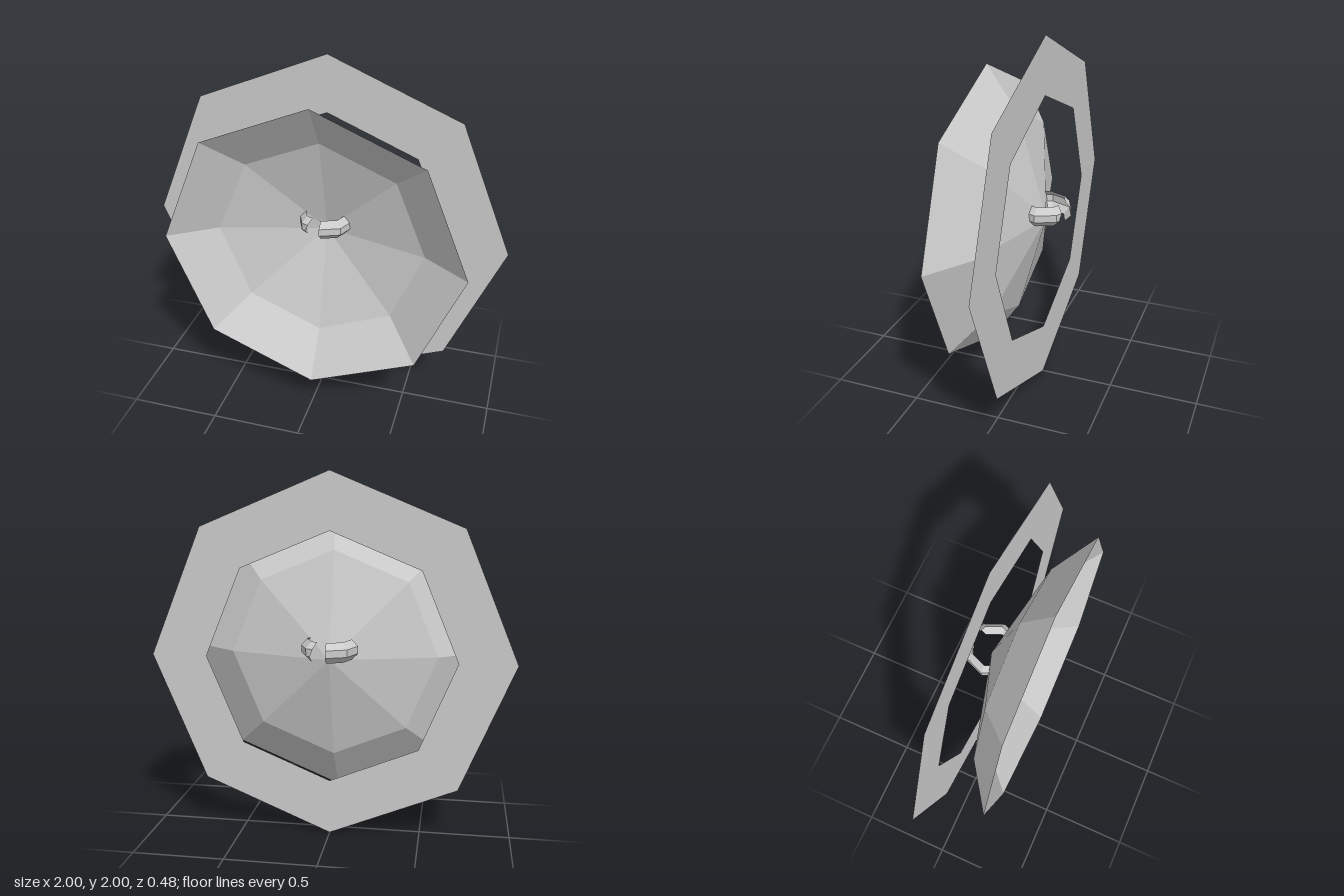
import * as THREE from 'three';

const grey = new THREE.MeshStandardMaterial({ color: 0xcccccc, flatShading: true, side: THREE.DoubleSide });
grey.name = 'pale grey';

function add(parent, name, geometry) {
  const mesh = new THREE.Mesh(geometry, grey);
  mesh.name = name;
  parent.add(mesh);
  return mesh;
}

// Half of an eight-sided hollow band; its far end is cut on a slant.
function bandGeometry() {
  const profile = [[0.12, -0.055], [0.155, -0.02], [0.155, 0.02], [0.12, 0.055]];
  const endCut = [0.03, 0.2, 0.35, 0.41];
  const at = (step, r, y) => new THREE.Vector3(r * Math.sin(step * Math.PI / 4), y, r * Math.cos(step * Math.PI / 4));
  const rows = profile.map(([r, y], i) => {
    const row = [0, 1, 2, 3].map((s) => at(s, r, y));
    row.push(at(3, r, y).lerp(at(4, r, y), endCut[i]));
    return row;
  });
  const points = [];
  for (let i = 0; i < 3; i++) {
    for (let s = 0; s < 4; s++) {
      const a = rows[i][s], b = rows[i][s + 1], c = rows[i + 1][s + 1], d = rows[i + 1][s];
      points.push(a, b, c, a, c, d);
    }
  }
  const geometry = new THREE.BufferGeometry().setFromPoints(points);
  geometry.computeVertexNormals();
  return geometry;
}

export function createModel() {
  const model = new THREE.Group();
  model.name = 'shield';

  // Faceted dish, open to the front
  const profile = [[0, -0.096], [0.58, 0.065], [0.83, 0.238]].map(([r, z]) => new THREE.Vector2(r, z));
  const dish = add(model, 'dish', new THREE.LatheGeometry(profile, 8).rotateX(Math.PI / 2));
  dish.position.y = 1;

  // Flat octagonal ring behind the dish
  const ring = add(model, 'flatRing', new THREE.RingGeometry(0.69, 1, 8, 1));
  ring.position.set(0, 1, -0.085);

  // Broken ring handle, made of two turned halves
  const handle = new THREE.Group();
  handle.name = 'handle';
  handle.position.set(0, 1.06, -0.083);
  for (let i = 0; i < 2; i++) {
    add(handle, i ? 'rightHandleHalf' : 'leftHandleHalf', bandGeometry()).rotation.y = i * Math.PI;
  }
  model.add(handle);
  return model;
}
